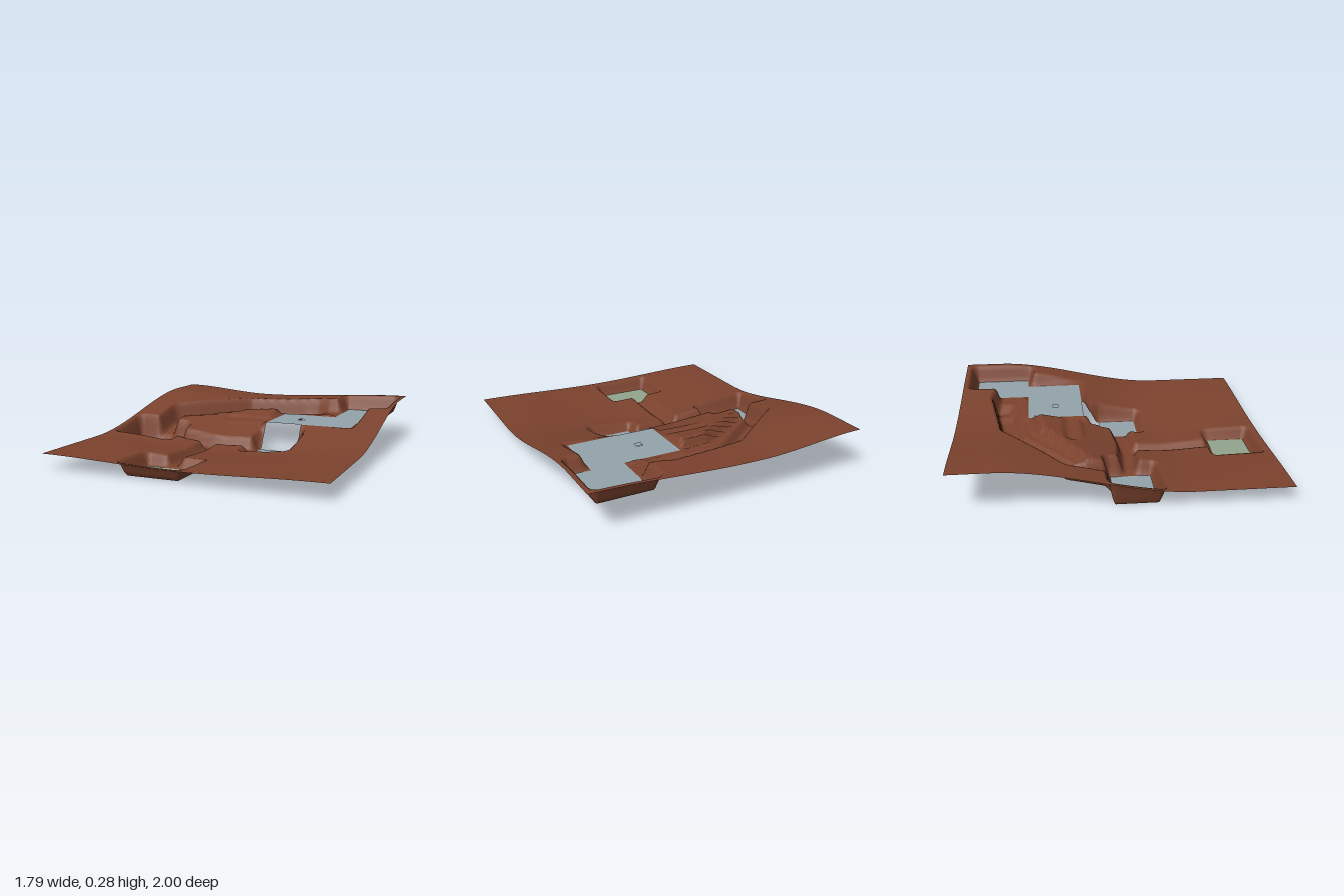
import * as THREE from 'three';

const W = 0.893, L = 1;
const { smoothstep, lerp, clamp } = THREE.MathUtils;

// Level building pads cut into the land: x0, x1, z0, z1, height
const pads = [
  { name: 'frontPad', r: [-0.355, -0.025, 0.665, 0.913], y: 0.003, green: true },
  { name: 'leftPad', r: [-0.815, -0.483, -0.045, 0.205], y: 0.003 },
  { name: 'middlePad', r: [0.1, 0.35, -0.045, 0.205], y: 0.003 },
  { name: 'upperPad', r: [0.1, 0.685, -0.545, -0.168], y: 0.17, hole: [0.268, 0.312, -0.376, -0.334] },
  { name: 'backPad', r: [0.478, 0.81, -0.918, -0.545], y: 0.17 },
];
const opening = [0.1, 0.35, -0.168, -0.045];

// Trenches: points are x, z, floor height
const trenches = [
  // front path and the cross path between the two low pads
  { pts: [[-0.195, 0.1, 0.01], [-0.195, 0.67, 0.01]], half: 0.012, fall: 0.055 },
  { pts: [[-0.5, 0.07, 0.01], [-0.2, 0.095, 0.01], [0.1, 0.07, 0.01]], half: 0.025, fall: 0.05 },
  // shallow step beside the upper pad
  { pts: [[0.1, -0.25, 0.165], [-0.2, -0.25, 0.158]], half: 0.03, fall: 0.05 },
  // rough bank on the inner side of the back path
  { pts: [[-0.54, -0.28, 0.14], [-0.15, -0.55, 0.15], [0.3, -0.625, 0.165], [0.5, -0.64, 0.17]],
    half: 0.03, fall: 0.09, rough: 0.012 },
  // back path
  { pts: [[-0.63, -0.03, 0.03], [-0.63, -0.295, 0.093], [-0.2, -0.64, 0.097], [0.16, -0.695, 0.1],
    [0.22, -0.705, 0.132], [0.28, -0.715, 0.12], [0.36, -0.7, 0.17], [0.5, -0.69, 0.17]],
    half: 0.035, fall: 0.05 },
  // ramp beside the opening
  { pts: [[0.225, -0.045, 0.003], [0.225, -0.168, 0.17]], half: 0.125, fall: 0.045 },
];

// Rolling land: a slope rising to the back with a shallow bowl in the middle
function land(x, z) {
  const slope = 0.105 + 0.18 * smoothstep(-z, -0.42, 0.75);
  const centre = lerp(0.0, -0.2, smoothstep(-z, -0.3, 1));
  const u = (x - centre) / (x > centre ? W - centre : W + centre);
  const depth = lerp(0.023, 0.045, (1 - z) / 2) + 0.034 * Math.exp(-(((z - 0.14) / 0.42) ** 2));
  return slope - depth * Math.cos(u * Math.PI / 2) ** 2;
}

// Distance to a trench centre line and its floor height there
function nearest(pts, x, z) {
  let best = [Infinity, 0];
  for (let i = 0; i < pts.length - 1; i++) {
    const [ax, az, ay] = pts[i], [bx, bz, by] = pts[i + 1];
    const dx = bx - ax, dz = bz - az;
    const t = clamp(((x - ax) * dx + (z - az) * dz) / (dx * dx + dz * dz), 0, 1);
    const d = Math.hypot(x - ax - dx * t, z - az - dz * t);
    if (d < best[0]) best = [d, lerp(ay, by, t)];
  }
  return best;
}

function height(x, z) {
  let y = land(x, z);
  for (const { pts, half, fall, rough = 0 } of trenches) {
    const [d, floor] = nearest(pts, x, z);
    const ripple = rough * Math.sin(150 * z + 25 * x);
    y = lerp(floor, y, smoothstep(d + ripple, half, half + fall));
  }
  for (const { r, y: level } of pads) {
    const dx = Math.max(r[0] - x, x - r[1], 0), dz = Math.max(r[2] - z, z - r[3], 0);
    y = lerp(level, y, smoothstep(Math.hypot(dx, dz), 0, 0.055));
  }
  return y;
}

// Evenly spaced grid lines plus the exact edges of every cut-out
function gridLines(limit, edges) {
  const n = Math.round(2 * limit / 0.0125), lines = [...edges];
  for (let i = 0; i <= n; i++) {
    const v = -limit + 2 * limit * i / n;
    if (!edges.some(e => Math.abs(e - v) < 0.003)) lines.push(v);
  }
  return [...new Set(lines)].sort((a, b) => a - b);
}

function terrainGeometry() {
  const cuts = [...pads.map(p => p.r), opening];
  const xs = gridLines(W, cuts.flatMap(r => [r[0], r[1]]));
  const zs = gridLines(L, cuts.flatMap(r => [r[2], r[3]]));
  const pos = [], index = [], n = xs.length;
  for (const z of zs) for (const x of xs) pos.push(x, height(x, z), z);
  for (let j = 0; j < zs.length - 1; j++) {
    for (let i = 0; i < n - 1; i++) {
      const x = (xs[i] + xs[i + 1]) / 2, z = (zs[j] + zs[j + 1]) / 2;
      if (cuts.some(r => x > r[0] && x < r[1] && z > r[2] && z < r[3])) continue;
      const a = j * n + i, b = a + 1, c = a + n, d = c + 1;
      index.push(a, c, b, b, c, d);
    }
  }
  const g = new THREE.BufferGeometry();
  g.setAttribute('position', new THREE.Float32BufferAttribute(pos, 3));
  g.setIndex(index);
  g.computeVertexNormals();
  return g;
}

// Flat rectangle in the ground plane, with an optional square hole
function padGeometry({ r, y, hole }) {
  const corners = ([x0, x1, z0, z1]) =>
    [[x0, -z1], [x1, -z1], [x1, -z0], [x0, -z0]].map(p => new THREE.Vector2(...p));
  const shape = new THREE.Shape(corners(r));
  if (hole) shape.holes.push(new THREE.Path(corners(hole)));
  return new THREE.ShapeGeometry(shape).rotateX(-Math.PI / 2).translate(0, y, 0);
}

export function createModel() {
  const material = (name, color) => {
    const m = new THREE.MeshStandardMaterial({ color, side: THREE.DoubleSide });
    m.name = name;
    return m;
  };
  const earth = material('red earth', 0x7c432e);
  const stone = material('grey stone', 0x94a4ab);
  const moss = material('pale green', 0x93a68e);

  const model = new THREE.Group();
  model.name = 'terrain model';
  const add = (name, geometry, mat) => {
    const mesh = new THREE.Mesh(geometry, mat);
    mesh.name = name;
    model.add(mesh);
  };
  add('terrain', terrainGeometry(), earth);
  for (const p of pads) add(p.name, padGeometry(p), p.green ? moss : stone);
  return model;
}
